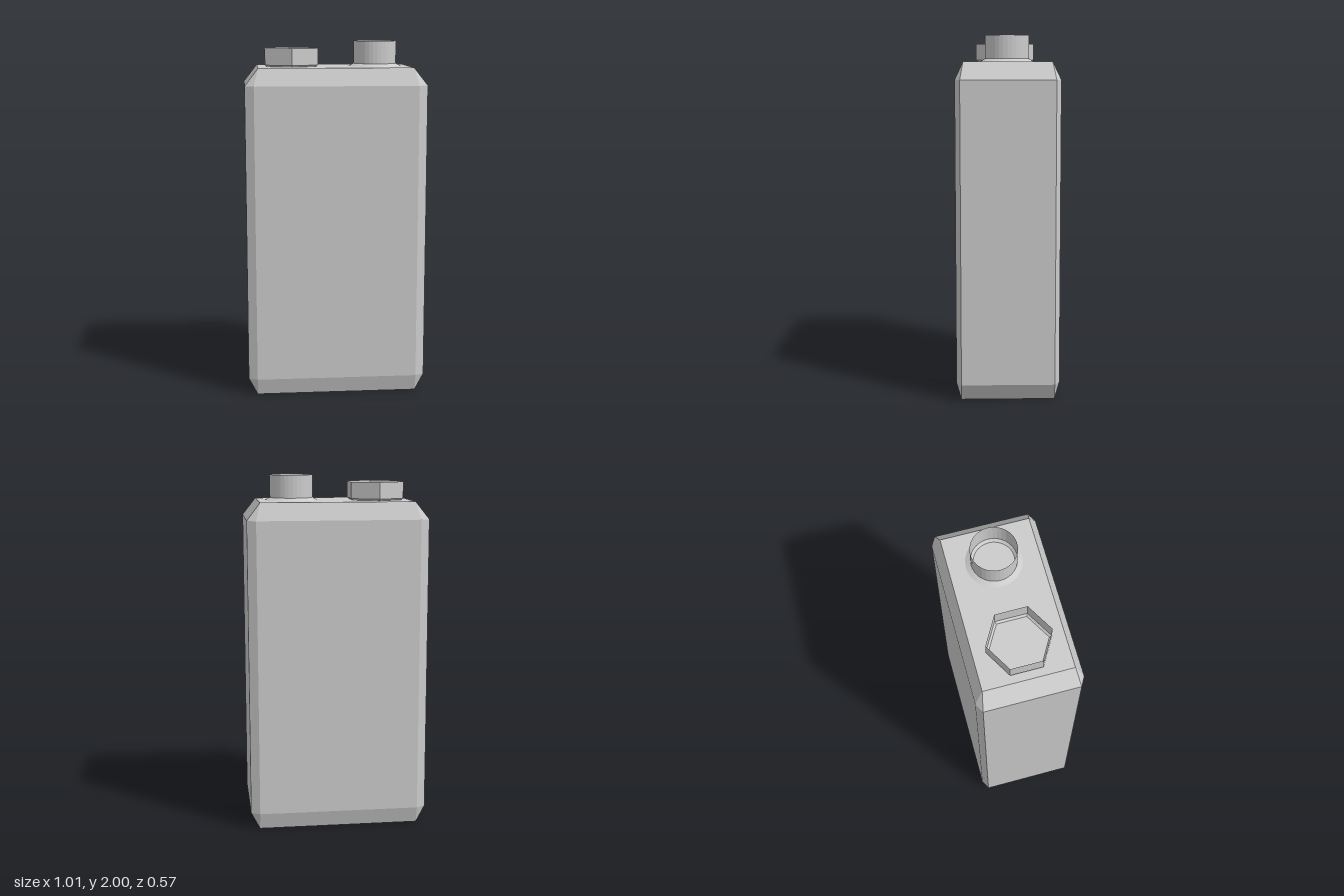
import * as THREE from 'three';
import { ConvexGeometry } from 'three/addons/geometries/ConvexGeometry.js';

const TOP = 1.857; // height of the canister's top face

export function createModel() {
  const model = new THREE.Group();
  model.name = 'canister';
  const solid = new THREE.MeshStandardMaterial({ color: 0xcccccc, flatShading: true });
  const open = new THREE.MeshStandardMaterial({ color: 0xcccccc, flatShading: true, side: THREE.DoubleSide });

  function add(name, geometry, material, x = 0) {
    const mesh = new THREE.Mesh(geometry, material);
    mesh.name = name;
    mesh.position.x = x;
    model.add(mesh);
  }

  // Open shell turned from [radius, height] pairs
  function turned(profile, sides) {
    return new THREE.LatheGeometry(profile.map(([r, y]) => new THREE.Vector2(r, y)), sides);
  }

  // Body: chamfered box, narrowing to plain rectangles at the base and top
  const corners = [];
  for (const sx of [-1, 1]) {
    for (const sz of [-1, 1]) {
      const corner = (x, y, z) => corners.push(new THREE.Vector3(sx * x, y, sz * z));
      corner(0.455, 0, 0.258);
      for (const y of [0.095, 1.76]) {
        corner(0.505, y, 0.257);
        corner(0.455, y, 0.285);
      }
      corner(0.43, TOP, 0.24);
    }
  }
  add('body', new ConvexGeometry(corners), solid);

  // Hexagonal cap, open at the top, with a small bevel at its foot
  add('hexCap', turned([[0.159, TOP], [0.172, 1.867], [0.172, 1.96]], 6), open, -0.24);

  // Round spout: open tube with a bevelled foot and a sloping collar
  add('spout', turned([[0.108, TOP], [0.122, 1.872], [0.122, 2]], 32), open, 0.24);
  add('spoutCollar', turned([[0.15, TOP], [0.122, 1.873]], 32), open, 0.24);

  return model;
}
